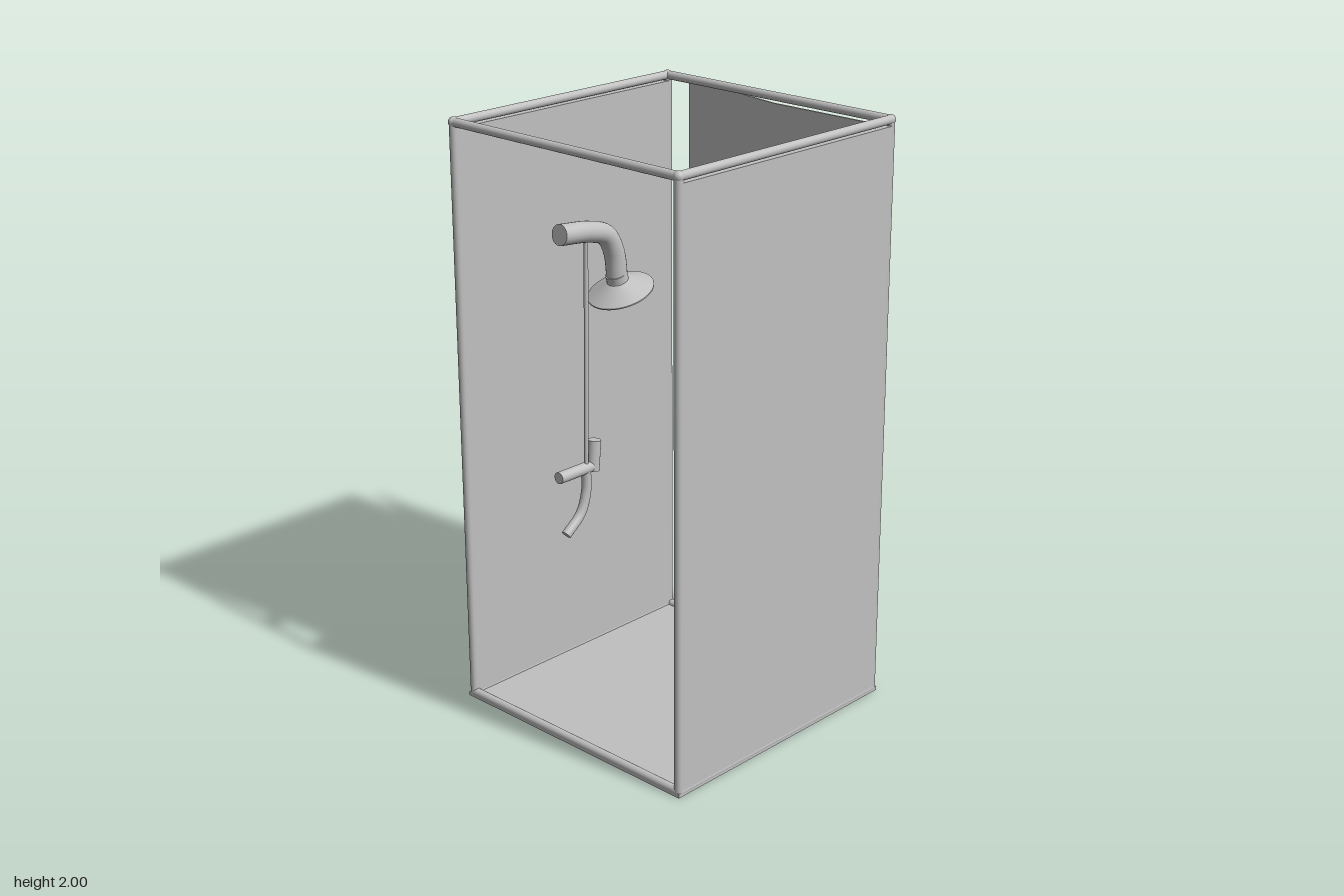
import * as THREE from 'three';

const gray = new THREE.MeshStandardMaterial({ color: 0xc0c0c0 });
gray.name = 'satinGray';

const X = 0.477, BACK = -0.441, FRONT = 0.51, TOP = 1.983, R = 0.0145;
const MID_Z = (BACK + FRONT) / 2, DEPTH = FRONT - BACK;

export function createModel() {
  const group = new THREE.Group();
  group.name = 'showerCabin';

  const add = (name, geometry, x = 0, y = 0, z = 0) => {
    const mesh = new THREE.Mesh(geometry, gray);
    mesh.name = name;
    mesh.position.set(x, y, z);
    group.add(mesh);
    return mesh;
  };
  const box = (name, w, h, d, x, y, z) => add(name, new THREE.BoxGeometry(w, h, d), x, y, z);

  // straight round bar between two points
  const bar = (name, a, b, r) => {
    const from = new THREE.Vector3(...a), to = new THREE.Vector3(...b);
    const dir = to.clone().sub(from);
    const mesh = add(name, new THREE.CylinderGeometry(r, r, dir.length(), 24));
    mesh.position.copy(from).add(to).multiplyScalar(0.5);
    mesh.quaternion.setFromUnitVectors(new THREE.Vector3(0, 1, 0), dir.normalize());
    return mesh;
  };

  // bent pipe with closed ends
  const pipe = (name, points, r) => {
    const curve = new THREE.CatmullRomCurve3(points.map(p => new THREE.Vector3(...p)));
    add(name, new THREE.TubeGeometry(curve, 40, r, 24));
    [0, 1].forEach(t => {
      const cap = add(name + 'Cap', new THREE.CircleGeometry(r, 24));
      cap.position.copy(curve.getPoint(t));
      const out = curve.getTangent(t).multiplyScalar(t ? 1 : -1);
      cap.quaternion.setFromUnitVectors(new THREE.Vector3(0, 0, 1), out);
    });
  };

  // floor tray and drain
  box('floor', 2 * X + 0.026, 0.014, DEPTH + 0.028, 0, 0.007, MID_Z);
  const drain = add('drain', new THREE.SphereGeometry(0.04, 32, 10, 0, Math.PI * 2, 0, Math.PI / 2), 0.295, 0.014, -0.26);
  drain.scale.y = 0.25;

  // frame: posts, corner joints, side rails
  for (const x of [-X, X]) {
    for (const z of [BACK, FRONT]) {
      bar('post', [x, 0, z], [x, TOP, z], R);
      add('cornerJoint', new THREE.SphereGeometry(0.017, 20, 14), x, TOP, z);
    }
    for (const y of [R, TOP]) bar('sideRail', [x, y, BACK], [x, y, FRONT], R);
    box('sidePanel', 0.027, 1.96, DEPTH, x, 0.985, MID_Z);
  }
  for (const z of [BACK, FRONT]) {
    for (const y of [R, TOP]) bar('crossRail', [-X, y, z], [X, y, z], R);
  }

  // back: fixed panel and door swung slightly outward
  box('fixedPanel', X, 1.94, 0.008, X / 2, 0.99, BACK);
  const doorWidth = 0.458;
  const doorAngle = Math.atan2(0.081, 0.45);
  box('door', doorWidth, 1.94, 0.006,
    -Math.cos(doorAngle) * doorWidth / 2, 0.99, BACK - Math.sin(doorAngle) * doorWidth / 2)
    .rotation.y = -doorAngle;
  bar('doorHandle', [-0.411, 0.887, -0.51], [-0.408, 1.17, -0.51], 0.027);

  // shower arm and tilted head
  pipe('showerArm', [[0, 1.72, 0.522], [0, 1.705, 0.40], [0, 1.68, 0.33], [0, 1.62, 0.295], [0, 1.52, 0.281]], 0.033);
  const profile = [[0, -0.004], [0.106, -0.004], [0.106, 0], [0.034, 0.036], [0.034, 0.06], [0, 0.06]]
    .map(p => new THREE.Vector2(...p));
  // each profile step gets its own normals so the edges stay crisp
  for (let i = 0; i < profile.length - 1; i++) {
    add('showerHead', new THREE.LatheGeometry([profile[i], profile[i + 1]], 48), 0, 1.491, 0.268)
      .rotation.x = 0.33;
  }

  // riser, mixer valve and curved lower spout
  bar('riser', [-0.003, 1.69, 0.41], [-0.013, 0.93, 0.415], 0.007);
  bar('valveBody', [-0.015, 0.936, 0.532], [-0.015, 0.936, 0.39], 0.019);
  bar('valveLever', [-0.015, 0.92, 0.385], [-0.015, 1.02, 0.375], 0.021);
  pipe('lowerSpout', [[-0.015, 0.935, 0.415], [-0.015, 0.86, 0.415], [-0.015, 0.79, 0.44], [-0.015, 0.735, 0.505]], 0.016);

  return group;
}
